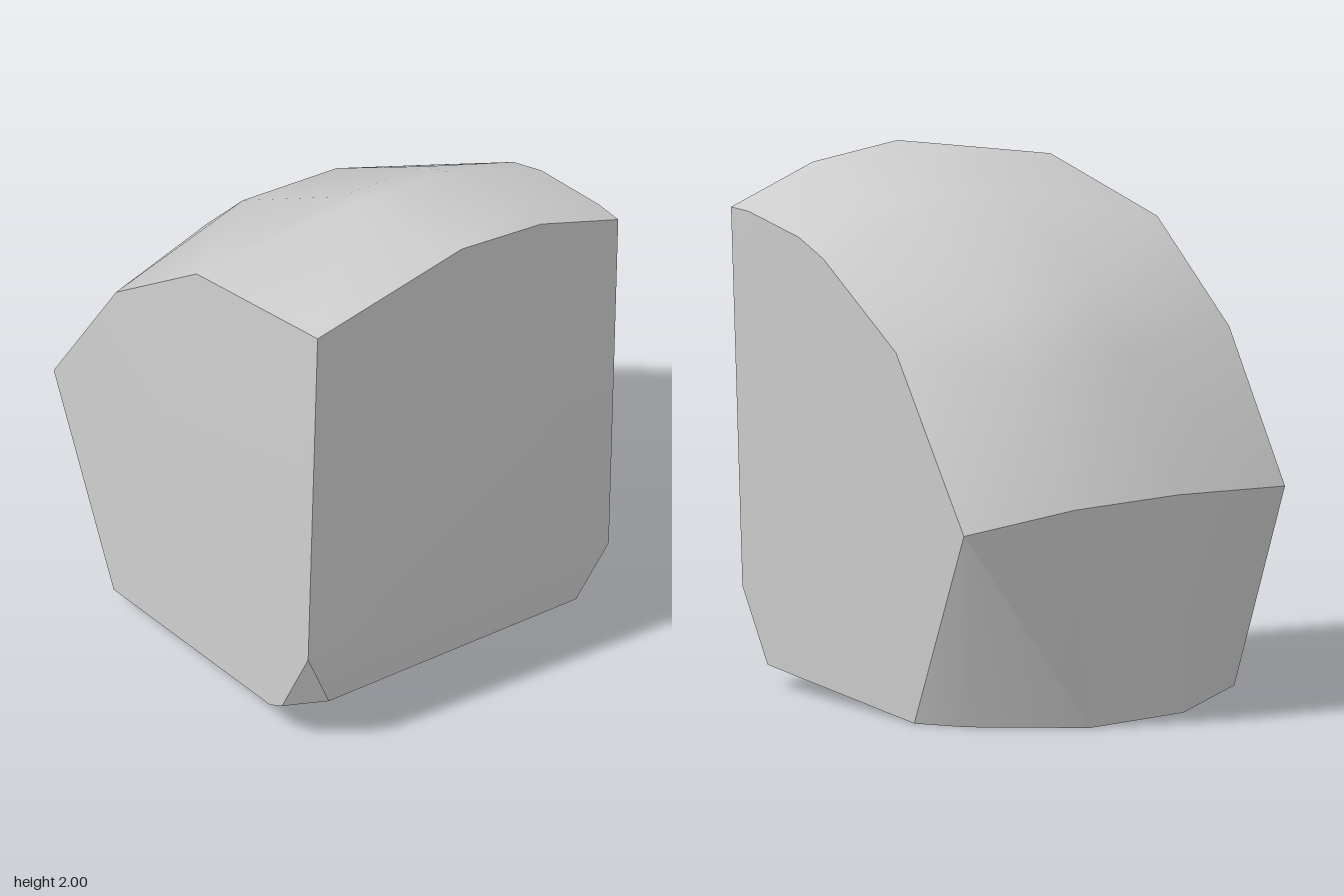
import * as THREE from 'three';
import { ConvexGeometry } from 'three/addons/geometries/ConvexGeometry.js';
import { toCreasedNormals } from 'three/addons/utils/BufferGeometryUtils.js';

// Arched ribs run from the front face, over the top, to the ridge at the back
const leftRib = [[-0.68, 1.89, 0.77], [-0.65, 1.755, 0.03], [-0.65, 1.4, -0.44], [-0.66, 0.84, -0.79]];
const crownRib = [[0, 2, 0.8], [-0.08, 2, 0.65], [-0.06, 1.93, 0.25], [-0.05, 1.89, 0.14],
  [-0.08, 1.59, -0.38], [-0.08, 1.36, -0.59], [-0.11, 0.87, -0.88]];
const innerRib = [[0.37, 1.95, 0.82], [0.37, 1.945, 0.68], [0.37, 1.88, 0.27], [0.37, 1.83, 0.14],
  [0.36, 1.54, -0.36], [0.35, 1.31, -0.57], [0.34, 0.85, -0.85]];
const rightRib = [[0.73, 1.81, 0.84], [0.735, 1.81, 0.72], [0.75, 1.76, 0.37], [0.755, 1.7, 0.2],
  [0.76, 1.41, -0.28], [0.75, 0.77, -0.71]];

// Outline of the tilted underside, clockwise from the right
const underside = [[0.69, 0, -0.3], [0.58, 0, -0.48], [0.21, 0, -0.76], [-0.21, 0.02, -0.77],
  [-0.59, 0.06, -0.56], [-0.72, 0.085, -0.37], [-0.77, 0.125, 0.6], [0.64, 0.08, 0.73]];

// Lower front edge with its chipped corners
const frontChips = [[-0.77, 0.16, 0.67], [-0.76, 0.45, 0.81], [-0.65, 0.2, 0.8],
  [0.52, 0.14, 0.845], [0.65, 0.36, 0.88]];

export function createModel() {
  const group = new THREE.Group();
  group.name = 'rock';

  const stone = new THREE.MeshStandardMaterial({ color: 0xcccccc });
  stone.name = 'pale grey stone';

  const points = [leftRib, crownRib, innerRib, rightRib, underside, frontChips]
    .flat()
    .map((p) => new THREE.Vector3(...p));

  // Rounded faces stay smooth, broken edges stay sharp
  const geometry = toCreasedNormals(new ConvexGeometry(points), THREE.MathUtils.degToRad(32));
  const block = new THREE.Mesh(geometry, stone);
  block.name = 'stoneBlock';
  group.add(block);
  return group;
}
